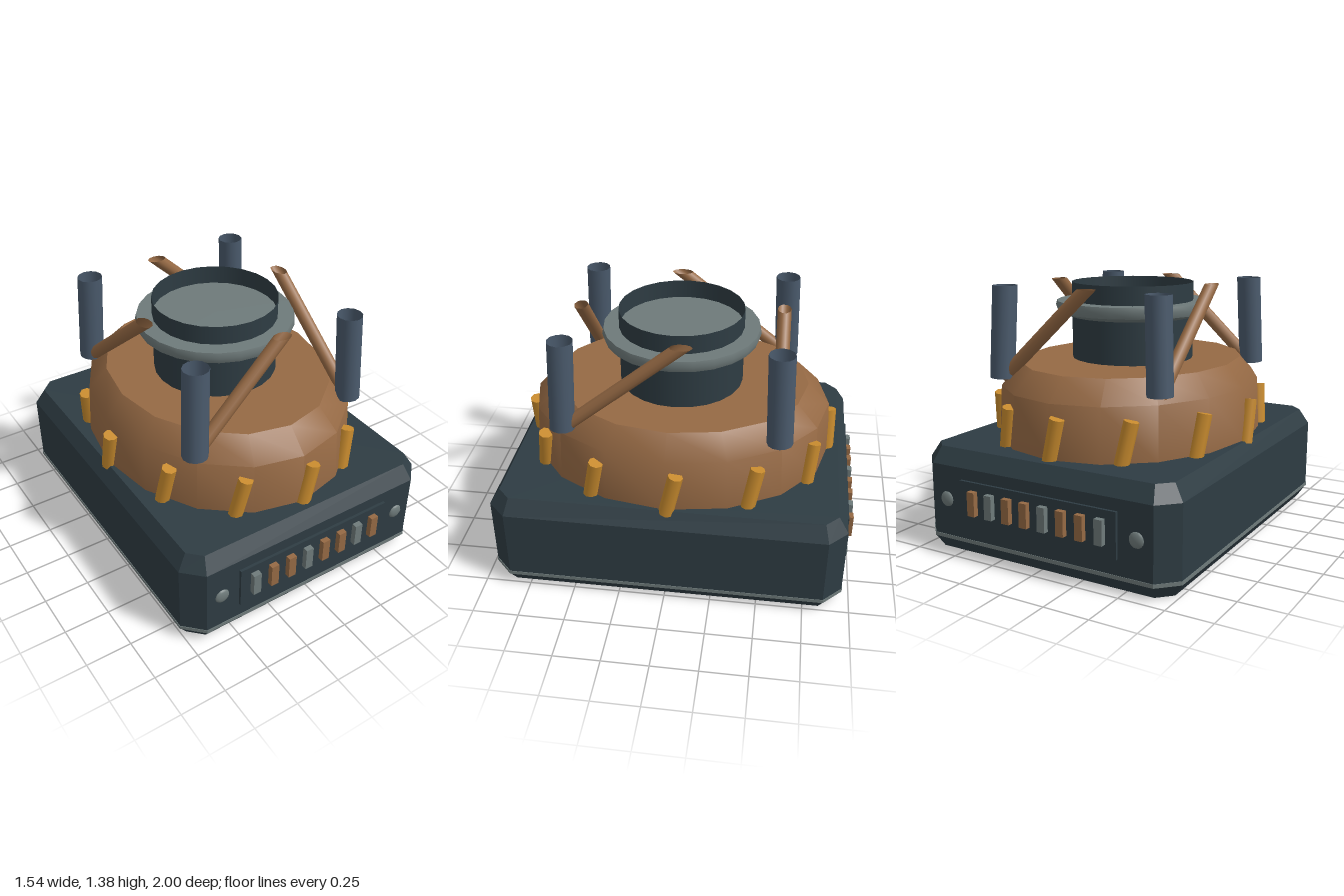
import * as THREE from 'three';
import { mergeGeometries, toCreasedNormals } from 'three/addons/utils/BufferGeometryUtils.js';

const TOP = 1.385; // height at which neck, posts and struts are cut off

function material(name, color, side = THREE.FrontSide) {
  const m = new THREE.MeshStandardMaterial({ color, side });
  m.name = name;
  return m;
}

// Chamfered rectangle outline, inset from the widest section
function outline(y, inset) {
  const x = 0.765 - inset, z = 0.955 - inset, c = 0.1 - 0.586 * inset;
  return [[x, z - c], [x - c, z], [c - x, z], [-x, z - c], [-x, c - z], [c - x, -z], [x - c, -z], [x, c - z]]
    .map(([px, pz]) => new THREE.Vector3(px, y, pz));
}

// Flat-shaded walls through a list of [y, inset] sections, with optional caps
function loft(sections, capBottom, capTop) {
  const rings = sections.map(([y, i]) => outline(y, i));
  const pos = [];
  const tri = (...p) => p.forEach(v => pos.push(v.x, v.y, v.z));
  for (let s = 0; s < rings.length - 1; s++) {
    for (let i = 0; i < 8; i++) {
      const j = (i + 1) % 8, a = rings[s], b = rings[s + 1];
      tri(a[i], b[i], a[j]);
      tri(a[j], b[i], b[j]);
    }
  }
  const lo = rings[0], hi = rings[rings.length - 1];
  for (let i = 1; i < 7; i++) {
    if (capBottom) tri(lo[0], lo[i], lo[i + 1]);
    if (capTop) tri(hi[0], hi[i + 1], hi[i]);
  }
  const g = new THREE.BufferGeometry();
  g.setAttribute('position', new THREE.Float32BufferAttribute(pos, 3));
  g.computeVertexNormals();
  return g;
}

// Open tube from a to b whose upper rim is cut level at the height of b
function cutTube(a, b, radius, sides) {
  const dir = b.clone().sub(a);
  const len = dir.length();
  dir.normalize();
  const g = new THREE.CylinderGeometry(radius, radius, len, sides, 1, true);
  g.translate(0, len / 2, 0);
  g.applyQuaternion(new THREE.Quaternion().setFromUnitVectors(new THREE.Vector3(0, 1, 0), dir));
  g.translate(a.x, a.y, a.z);
  const p = g.attributes.position, v = new THREE.Vector3();
  for (let i = 0; i <= sides; i++) {
    v.fromBufferAttribute(p, i);
    v.addScaledVector(dir, (b.y - v.y) / dir.y);
    p.setXYZ(i, v.x, v.y, v.z);
  }
  return g;
}

function lathe(points, sides, crease) {
  const g = new THREE.LatheGeometry(points.map(([r, y]) => new THREE.Vector2(r, y)), sides);
  return toCreasedNormals(g, crease);
}

export function createModel() {
  const group = new THREE.Group();
  const dark = material('dark teal', 0x2e3c43);
  const darkOpen = material('dark teal', 0x2e3c43);
  darkOpen.side = THREE.DoubleSide;
  const grey = material('steel grey', 0x6e7a7a);
  const copper = material('copper', 0x956944, THREE.DoubleSide);
  const gold = material('gold', 0xc88b2e);
  const slate = material('slate blue', 0x4a5a6c, THREE.DoubleSide);

  const add = (name, geometry, mat, parent = group) => {
    const m = new THREE.Mesh(geometry, mat);
    m.name = name;
    parent.add(m);
    return m;
  };

  // Chamfered base with a thin trim line
  add('base', mergeGeometries([
    loft([[0, 0.045], [0.07, 0]], true, false),
    loft([[0.09, 0], [0.475, 0], [0.56, 0.053]], false, true),
  ]), dark);
  add('baseTrim', loft([[0.07, 0], [0.07, -0.003], [0.09, -0.003], [0.09, 0]], false, false), grey);

  // Control panels with bars and rivets, front and back
  for (const s of [1, -1]) {
    const panel = new THREE.Group();
    panel.name = s > 0 ? 'frontPanel' : 'backPanel';
    group.add(panel);
    add('panelPlate', new THREE.BoxGeometry(0.945, 0.24, 0.03), dark, panel).position.set(0, 0.293, s * 0.955);
    for (let i = 0; i < 8; i++) {
      const bar = add('panelBar', new THREE.BoxGeometry(0.045, 0.13, 0.04), i % 3 ? copper : grey, panel);
      bar.position.set(-0.39 + i * 0.11, 0.305, s * 0.98);
    }
    for (const x of [-0.575, 0.575]) {
      const rivet = add('rivet', new THREE.SphereGeometry(0.042, 12, 8), grey, panel);
      rivet.position.set(x, 0.29, s * 0.953);
      rivet.scale.z = 0.4;
    }
  }

  // Oval dome
  const dome = lathe([[0.7, 0.555], [0.685, 0.845], [0.585, 0.963], [0, 0.963]], 16, 0.75);
  dome.scale(1, 1, 1.205);
  add('dome', toCreasedNormals(dome, 0.75), copper);

  // Leaning pegs around the dome
  for (let i = 0; i < 12; i++) {
    const a = i * Math.PI / 6 + 0.04;
    const peg = new THREE.Group();
    peg.name = 'pegMount';
    peg.position.set(0.7 * Math.sin(a), 0.66, 0.835 * Math.cos(a));
    peg.rotation.y = a;
    group.add(peg);
    add('peg', new THREE.CylinderGeometry(0.04, 0.04, 0.24, 8), gold, peg).rotation.z = -0.22;
  }

  // Open neck with a collar plate running through it
  const neck = new THREE.CylinderGeometry(0.34, 0.34, TOP - 0.95, 24, 1, true);
  add('neck', neck, darkOpen).position.y = (TOP + 0.95) / 2;
  add('collar', lathe([[0, 1.198], [0.35, 1.198], [0.42, 1.222], [0.432, 1.255], [0.425, 1.283], [0, 1.283]], 24, 0.8), grey);

  // Four corner posts leaning inward
  for (const x of [-1, 1]) {
    for (const z of [-1, 1]) {
      const a = new THREE.Vector3(x * 0.487, 0.885, z * 0.57);
      const b = new THREE.Vector3(x * 0.465, TOP, z * 0.553);
      add('post', cutTube(a, b, 0.068, 12), slate);
    }
  }

  // Diagonal struts, each rising from the foot of one post towards the next
  const struts = [
    [-0.48, 0.56, 0.045, 0.54], [0.485, 0.56, 0.46, -0.055],
    [0.48, -0.56, -0.045, -0.545], [-0.485, -0.56, -0.46, 0.055],
  ];
  for (const [x0, z0, x1, z1] of struts) {
    const a = new THREE.Vector3(x0, 0.89, z0), b = new THREE.Vector3(x1, TOP, z1);
    add('strut', cutTube(a, b, 0.037, 10), copper);
  }
  return group;
}
